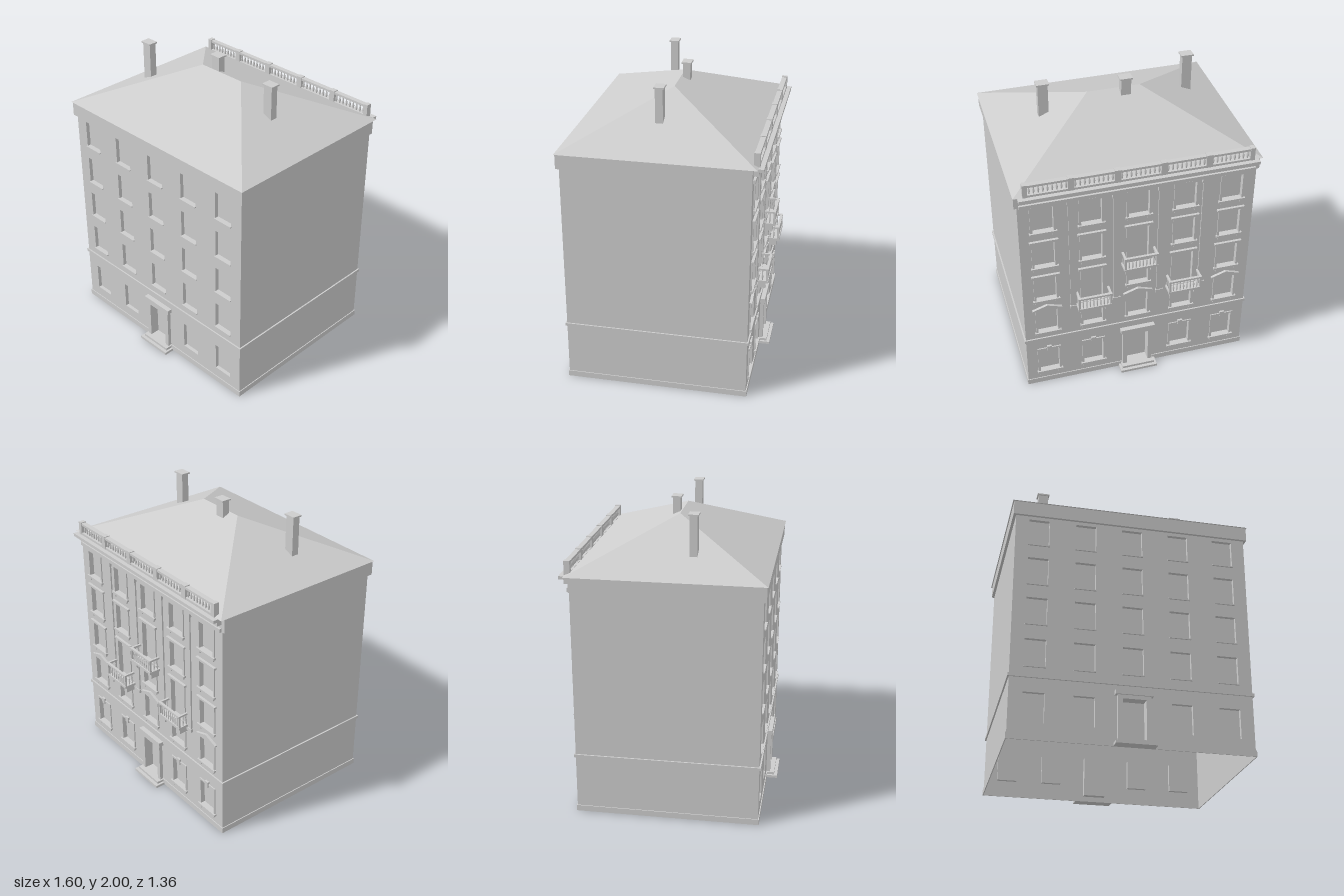
import * as THREE from 'three';

const stone = new THREE.MeshStandardMaterial({ color: 0xcccccc, side: THREE.DoubleSide });
stone.name = 'pale grey stone';

const COLS = [-0.62, -0.31, 0, 0.31, 0.62];
const ROWS = [[0.475, 0.66], [0.76, 0.945], [1.04, 1.23], [1.325, 1.51]];
const WIN = 0.135, HALF = 0.775;

function add(parent, name, geometry) {
  const mesh = new THREE.Mesh(geometry, stone);
  mesh.name = name;
  parent.add(mesh);
  return mesh;
}

// box given by its limits on each axis
function box(parent, name, x0, x1, y0, y1, z0, z1) {
  const m = add(parent, name, new THREE.BoxGeometry(x1 - x0, y1 - y0, z1 - z0));
  m.position.set((x0 + x1) / 2, (y0 + y1) / 2, (z0 + z1) / 2);
  return m;
}

function group(parent, name) {
  const g = new THREE.Group();
  g.name = name;
  parent.add(g);
  return g;
}

function rectPath(Kind, x0, x1, y0, y1) {
  return new Kind([[x0, y0], [x1, y0], [x1, y1], [x0, y1]].map(p => new THREE.Vector2(...p)));
}

// box without its front face, used as a sunken window or door
function recess(parent, name, o, depth) {
  const m = box(parent, name, o.x - o.w / 2, o.x + o.w / 2, o.y0, o.y1, -depth, 0);
  const index = Array.from(m.geometry.index.array).filter((v, i) => i < 24 || i >= 30);
  m.geometry.setIndex(index);
  m.geometry.clearGroups();
}

// wall pierced by openings, facing local +z
function wall(parent, name, openings) {
  const shape = rectPath(THREE.Shape, -HALF, HALF, 0, 1.6);
  openings.forEach(o =>
    shape.holes.push(rectPath(THREE.Path, o.x - o.w / 2, o.x + o.w / 2, o.y0, o.y1)));
  add(parent, name, new THREE.ShapeGeometry(shape));
  openings.forEach(o => recess(parent, o.door ? 'doorRecess' : 'windowRecess', o, o.door ? 0.04 : 0.025));
}

// turned post
function baluster(parent, x, y0, y1, z, r = 0.006) {
  const h = y1 - y0;
  const profile = [[0.6, 0], [0.6, 0.1], [1, 0.35], [0.45, 0.7], [0.65, 0.9], [0.65, 1]]
    .map(([a, b]) => new THREE.Vector2(a * r, b * h));
  add(parent, 'baluster', new THREE.LatheGeometry(profile, 6)).position.set(x, y0, z);
}

function entrance(parent) {
  const g = group(parent, 'entrance');
  for (const s of [-1, 1]) {
    const a = s * 0.075, b = s * 0.105;
    box(g, 'doorJamb', Math.min(a, b), Math.max(a, b), 0.03, 0.33, 0, 0.025);
  }
  box(g, 'doorLintel', -0.105, 0.105, 0.305, 0.33, 0, 0.025);
  box(g, 'doorHood', -0.12, 0.12, 0.33, 0.36, 0, 0.034);
  box(g, 'lowerStep', -0.13, 0.13, 0, 0.018, 0, 0.077);
  box(g, 'upperStep', -0.115, 0.115, 0.018, 0.035, 0, 0.055);
}

function groundOpenings() {
  return COLS.map(x => x === 0
    ? { x, w: 0.15, y0: 0.035, y1: 0.305, door: true }
    : { x, w: WIN, y0: 0.11, y1: 0.305 });
}

// raised casing, sill and head for the ornate side
function casing(parent, o, row, balconyDoor) {
  const g = group(parent, 'windowSurround');
  const a = o.w / 2, b = a + 0.014;
  box(g, 'leftCasing', o.x + a, o.x + b, o.y0, o.y1, 0, 0.008);
  box(g, 'rightCasing', o.x - b, o.x - a, o.y0, o.y1, 0, 0.008);
  box(g, 'topCasing', o.x - b, o.x + b, o.y1, o.y1 + 0.012, 0, 0.008);
  if (!balconyDoor) {
    box(g, 'sill', o.x - b - 0.008, o.x + b + 0.008, o.y0 - 0.014, o.y0, 0, 0.018);
    for (const s of [-1, 1]) {
      const c = o.x + s * (a - 0.002);
      box(g, 'sillBracket', c - 0.009, c + 0.009, o.y0 - 0.032, o.y0 - 0.014, 0, 0.011);
    }
  }
  if (row < 0) {
    box(g, 'keystone', o.x - 0.016, o.x + 0.016, o.y1 - 0.012, o.y1 + 0.03, 0, 0.014);
  } else if (row === 0 && Math.abs(o.x) !== 0.31) {
    const tri = new THREE.Shape([[-0.1, 0], [0.1, 0], [0.1, 0.008], [0, 0.042], [-0.1, 0.008]]
      .map(p => new THREE.Vector2(...p)));
    add(g, 'pediment', new THREE.ExtrudeGeometry(tri, { depth: 0.018, bevelEnabled: false }))
      .position.set(o.x, o.y1 + 0.012, 0);
  } else if (row < 3) {
    box(g, 'windowHead', o.x - b - 0.012, o.x + b + 0.012, o.y1 + 0.012, o.y1 + 0.026, 0, 0.018);
  }
}

function balcony(parent, x, y) {
  const g = group(parent, 'balcony');
  g.position.set(x, y, 0);
  const w = 0.115, d = 0.082;
  box(g, 'slab', -w, w, -0.005, 0.012, 0, d);
  for (const s of [-1, 1]) {
    box(g, 'bracket', s * 0.085 - 0.014, s * 0.085 + 0.014, -0.05, -0.005, 0, 0.062);
    box(g, 'sideRail', s * 0.106 - 0.007, s * 0.106 + 0.007, 0.087, 0.1, 0, d);
    box(g, 'cornerPost', s * 0.106 - 0.007, s * 0.106 + 0.007, 0.012, 0.087, d - 0.016, d - 0.002);
    for (const z of [0.016, 0.042]) baluster(g, s * 0.106, 0.012, 0.087, z);
  }
  box(g, 'frontRail', -w, w, 0.087, 0.1, d - 0.018, d);
  for (let i = 1; i < 9; i++) baluster(g, -0.106 + i * 0.0236, 0.012, 0.087, d - 0.009);
}

function pilaster(parent, x) {
  const g = group(parent, 'pilaster');
  box(g, 'shaft', x - 0.02, x + 0.02, 0.66, 1.52, 0, 0.01);
  box(g, 'foot', x - 0.026, x + 0.026, 0.64, 0.665, 0, 0.015);
  box(g, 'capital', x - 0.028, x + 0.028, 1.5, 1.53, 0, 0.018);
}

function balustrade(parent) {
  const g = group(parent, 'roofBalustrade');
  box(g, 'bottomRail', -0.74, 0.74, 1.63, 1.645, 0.002, 0.036);
  box(g, 'topRail', -0.74, 0.74, 1.7, 1.715, 0.002, 0.036);
  const posts = [-0.725, -0.44, -0.148, 0.148, 0.44, 0.725];
  posts.forEach((x, i) => {
    const w = i % 5 ? 0.02 : 0.015;
    box(g, 'pier', x - w, x + w, 1.63, 1.72, 0, 0.038);
    if (i === 5) return;
    const gap = posts[i + 1] - x;
    for (let k = 1; k < 10; k++) baluster(g, x + gap * k / 10, 1.645, 1.7, 0.019, 0.008);
  });
}

function chimney(parent, x, z, y0) {
  const g = group(parent, 'chimney');
  box(g, 'stack', x - 0.033, x + 0.033, y0, 1.99, z - 0.025, z + 0.025);
  box(g, 'cap', x - 0.042, x + 0.042, 1.99, 2, z - 0.033, z + 0.033);
}

// hipped roof with a short ridge
function hipRoof(parent) {
  const a = [-0.8, 1.63, 0.63], b = [0.8, 1.63, 0.63], c = [0.8, 1.63, -0.63], d = [-0.8, 1.63, -0.63];
  const l = [-0.175, 1.905, 0], r = [0.175, 1.905, 0];
  const faces = [a, b, r, a, r, l, b, c, r, c, d, l, c, l, r, d, a, l];
  const geo = new THREE.BufferGeometry();
  geo.setAttribute('position', new THREE.Float32BufferAttribute(faces.flat(), 3));
  geo.computeVertexNormals();
  add(parent, 'roof', geo);
}

export function createModel() {
  const model = new THREE.Group();
  model.name = 'apartmentHouse';

  // plain front
  const front = group(model, 'plainFacade');
  front.position.z = 0.605;
  const upper = ROWS.flatMap(([y0, y1]) => COLS.map(x => ({ x, w: WIN, y0, y1 })));
  wall(front, 'frontWall', [...groundOpenings(), ...upper]);
  upper.forEach(o => box(front, 'sill', o.x - 0.071, o.x + 0.071, o.y0 - 0.007, o.y0, -0.02, 0.01));
  entrance(front);

  // ornate back
  const back = group(model, 'ornateFacade');
  back.position.z = -0.598;
  back.rotation.y = Math.PI;
  const ground = groundOpenings();
  const ornate = ROWS.flatMap(([y0, y1], row) => COLS.map(x => {
    const opens = (row === 1 && Math.abs(x) === 0.31) || (row === 2 && x === 0);
    return { x, w: WIN, y0: opens ? y0 - 0.085 : y0, y1, row, opens };
  }));
  wall(back, 'backWall', [...ground, ...ornate]);
  ground.filter(o => !o.door).forEach(o => casing(back, o, -1, false));
  ornate.forEach(o => casing(back, o, o.row, o.opens));
  entrance(back);
  [-0.44, -0.148, 0.148, 0.44].forEach(x => pilaster(back, x));
  balcony(back, -0.31, 0.67);
  balcony(back, 0.31, 0.67);
  balcony(back, 0, 0.94);
  box(back, 'lowerCornice', -0.765, 0.765, 1.53, 1.555, 0, 0.018);
  box(back, 'middleCornice', -0.765, 0.765, 1.58, 1.61, 0, 0.035);
  box(back, 'upperCornice', -0.77, 0.77, 1.61, 1.63, 0, 0.066);
  balustrade(back);

  // side walls, plinth and string course
  for (const s of [-1, 1]) {
    const side = add(model, 'sideWall', new THREE.PlaneGeometry(1.203, 1.6));
    side.position.set(s * HALF, 0.8, 0.0035);
    side.rotation.y = s * Math.PI / 2;
    for (const [name, y0, y1, t] of [['plinth', 0, 0.04, 0.006], ['stringCourse', 0.398, 0.418, 0.01]]) {
      box(model, name, s > 0 ? HALF : -HALF - t, s > 0 ? HALF + t : -HALF, y0, y1, -0.598 - t, 0.605 + t);
    }
  }
  for (const [z, s] of [[0.605, 1], [-0.598, -1]]) {
    const strip = (name, x0, x1, y0, y1, t) =>
      box(model, name, x0, x1, y0, y1, Math.min(z, z + s * t), Math.max(z, z + s * t));
    strip('plinth', -HALF, -0.105, 0, 0.04, 0.006);
    strip('plinth', 0.105, HALF, 0, 0.04, 0.006);
    strip('stringCourse', -HALF, HALF, 0.398, 0.418, 0.01);
  }

  // eaves, roof and chimneys
  box(model, 'eaves', -0.793, 0.793, 1.533, 1.628, -0.6, 0.623);
  hipRoof(model);
  chimney(model, -0.538, 0.145, 1.7);
  chimney(model, -0.068, -0.036, 1.85);
  chimney(model, 0.46, 0.033, 1.74);
  return model;
}
